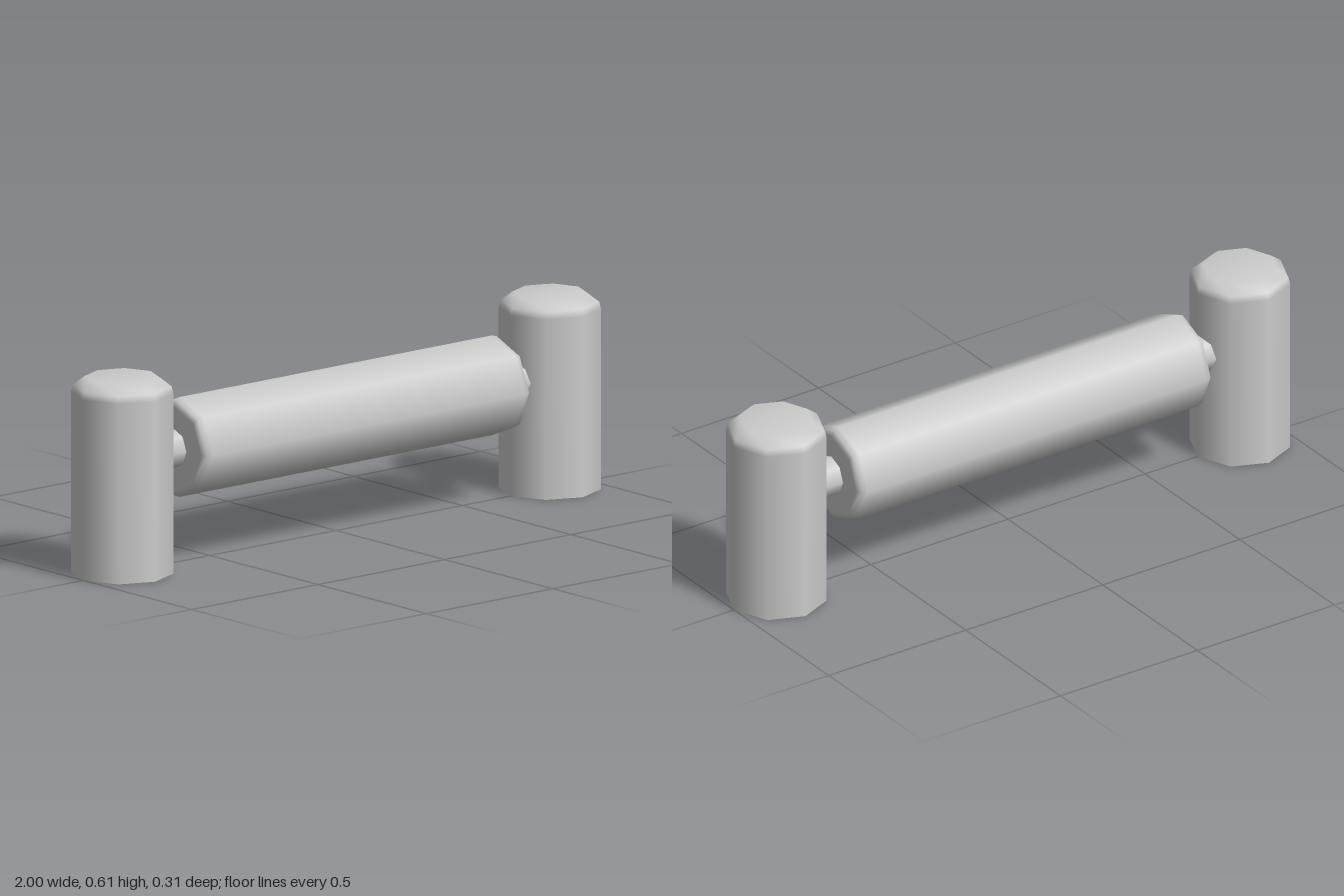
import * as THREE from 'three';

const SIDES = 8;
const BAR_Y = 0.353;
const material = new THREE.MeshStandardMaterial({ color: 0xcccccc, side: THREE.DoubleSide });

// Eight-sided turned part from [radius, height] pairs, listed bottom to top
function turned(name, profile) {
  const points = profile.map(([r, y]) => new THREE.Vector2(r, y));
  const mesh = new THREE.Mesh(new THREE.LatheGeometry(points, SIDES), material);
  mesh.name = name;
  return mesh;
}

export function createModel() {
  const model = new THREE.Group();
  model.name = 'rollerOnPosts';

  // Roller lying along x, with bevelled ends
  const halfProfile = [[0.154, 0.618], [0.148, 0.637], [0.13, 0.645], [0, 0.645]];
  const roller = turned('roller', [
    ...halfProfile.map(([r, y]) => [r, -y]).reverse(),
    ...halfProfile,
  ]);
  roller.rotation.z = -Math.PI / 2;
  roller.position.y = BAR_Y;
  model.add(roller);

  for (const [side, label] of [[1, 'left'], [-1, 'right']]) {
    // Upright post: open underneath, bevelled top
    const post = turned(label + 'Post', [
      [0.154, 0], [0.154, 0.556], [0.149, 0.578], [0.113, 0.605], [0, 0.605],
    ]);
    post.position.x = side * 0.846;
    model.add(post);

    // Short axle between roller and post
    const axle = new THREE.Mesh(
      new THREE.CylinderGeometry(0.062, 0.062, 0.12, SIDES, 1, true), material);
    axle.name = label + 'Axle';
    axle.rotation.z = -Math.PI / 2;
    axle.position.set(side * 0.69, BAR_Y, 0);
    model.add(axle);
  }
  return model;
}
